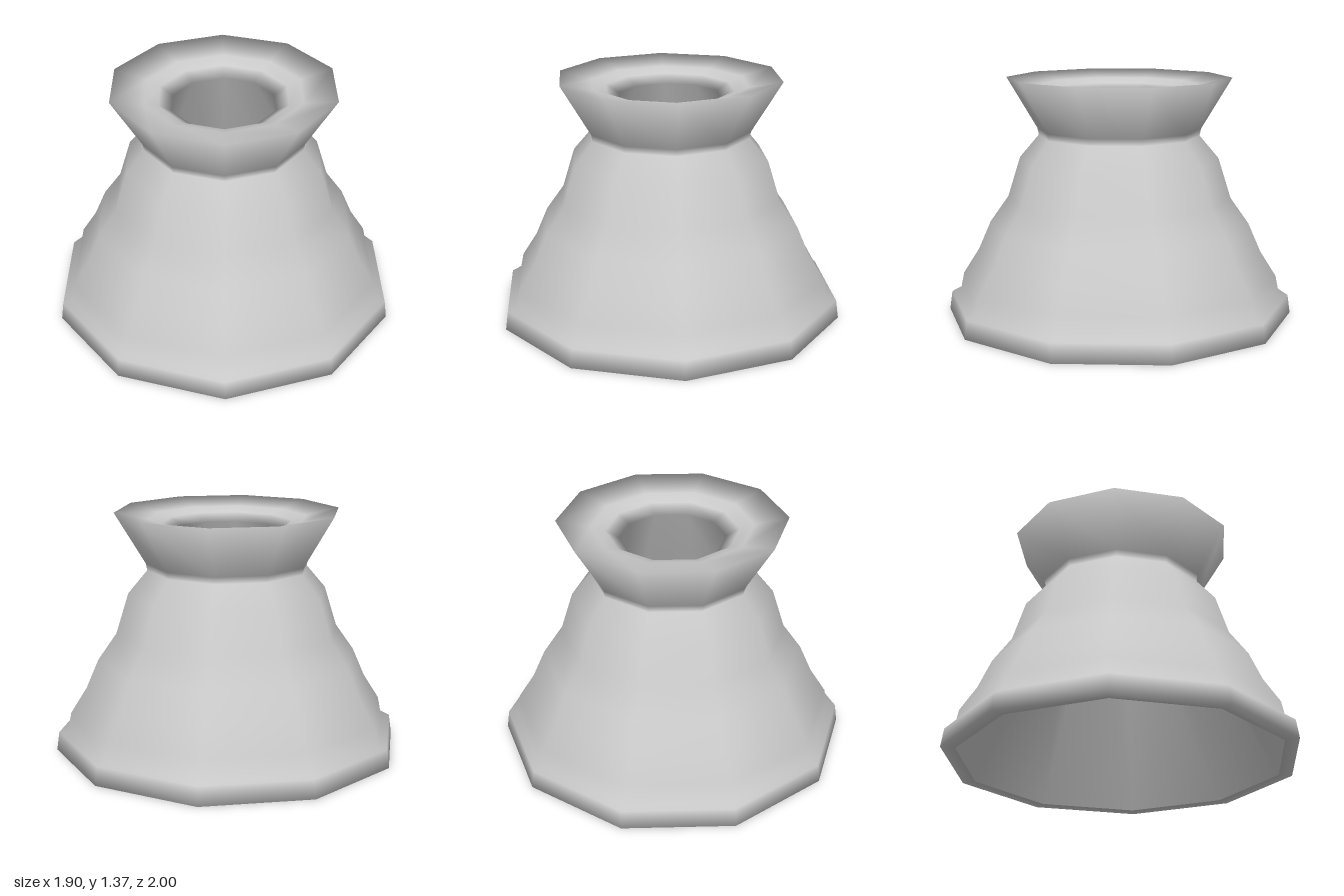
import * as THREE from 'three';

const SIDES = 10;

export function createModel() {
  const group = new THREE.Group();
  group.name = 'flaredNozzle';

  // Closed wall section as [radius, height], running up the outside and down the inside
  const section = [
    // base flange
    [0.92, 0], [1, 0], [0.985, 0.105], [0.935, 0.11],
    // stepped bell
    [0.912, 0.22], [0.82, 0.365], [0.748, 0.53], [0.642, 0.68], [0.57, 0.91],
    // neck and flared collar
    [0.46, 1.04], [0.468, 1.08], [0.641, 1.37],
    // shallow dish down to the throat
    [0.45, 1.33], [0.37, 1.305], [0.295, 1.26],
    // straight conical bore back to the base
    [0.92, 0],
  ].map(([r, y]) => new THREE.Vector2(r, y));

  const shell = new THREE.Mesh(
    new THREE.LatheGeometry(section, SIDES),
    new THREE.MeshStandardMaterial({ color: 0xcccccc, side: THREE.DoubleSide })
  );
  shell.name = 'bellShell';
  group.add(shell);

  return group;
}
